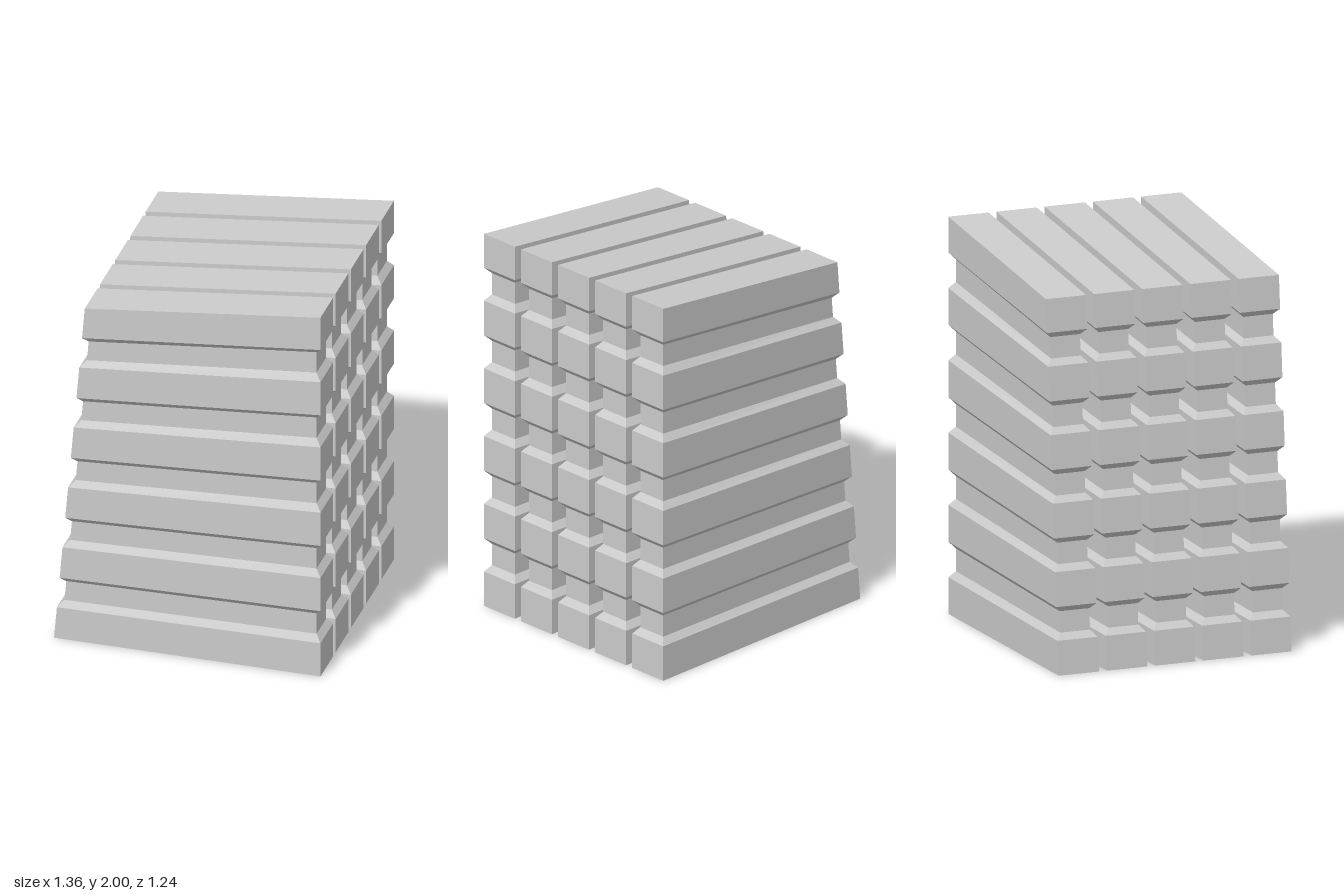
import * as THREE from 'three';

const HALF_X = 0.68, HALF_Z = 0.107, INSET = 0.028;
const SLABS = 5, SPACING = 0.2565, COURSES = 6, PITCH = 0.364;

// One rectangular ring: level is the height on the straight +x end;
// the leaning -x end is 7% lower and moves inwards as it rises.
function ring(level, inset) {
  const left = -HALF_X + 0.0785 * level + inset;
  const right = HALF_X - inset;
  const z = HALF_Z - inset;
  const low = level * 0.93;
  return [left, low, z, right, level, z, right, level, -z, left, low, -z];
}

// Grooved slab lofted through the rings, with flat caps
function slabGeometry() {
  const rings = [];
  for (let i = 0; i < COURSES; i++) {
    const y = i * PITCH;
    const last = i === COURSES - 1;
    rings.push(ring(y, 0), ring(last ? 2 : y + 0.185, 0));
    if (!last) rings.push(ring(y + 0.219, INSET), ring(y + 0.333, INSET));
  }
  const index = [0, 2, 1, 0, 3, 2];
  for (let r = 0; r < rings.length - 1; r++) {
    for (let k = 0; k < 4; k++) {
      const a = r * 4 + k, b = r * 4 + (k + 1) % 4;
      index.push(a, b, b + 4, a, b + 4, a + 4);
    }
  }
  const t = (rings.length - 1) * 4;
  index.push(t, t + 1, t + 2, t, t + 2, t + 3);

  const indexed = new THREE.BufferGeometry();
  indexed.setAttribute('position', new THREE.Float32BufferAttribute(rings.flat(), 3));
  indexed.setIndex(index);
  const geometry = indexed.toNonIndexed();
  geometry.computeVertexNormals();
  return geometry;
}

export function createModel() {
  const model = new THREE.Group();
  model.name = 'groovedSlabStack';
  const material = new THREE.MeshStandardMaterial({ color: 0xcccccc, flatShading: true });
  const geometry = slabGeometry();

  // Row of identical slabs with narrow gaps
  for (let i = 0; i < SLABS; i++) {
    const slab = new THREE.Mesh(geometry, material);
    slab.name = `groovedSlab${i + 1}`;
    slab.position.z = (i - (SLABS - 1) / 2) * SPACING;
    model.add(slab);
  }
  return model;
}
